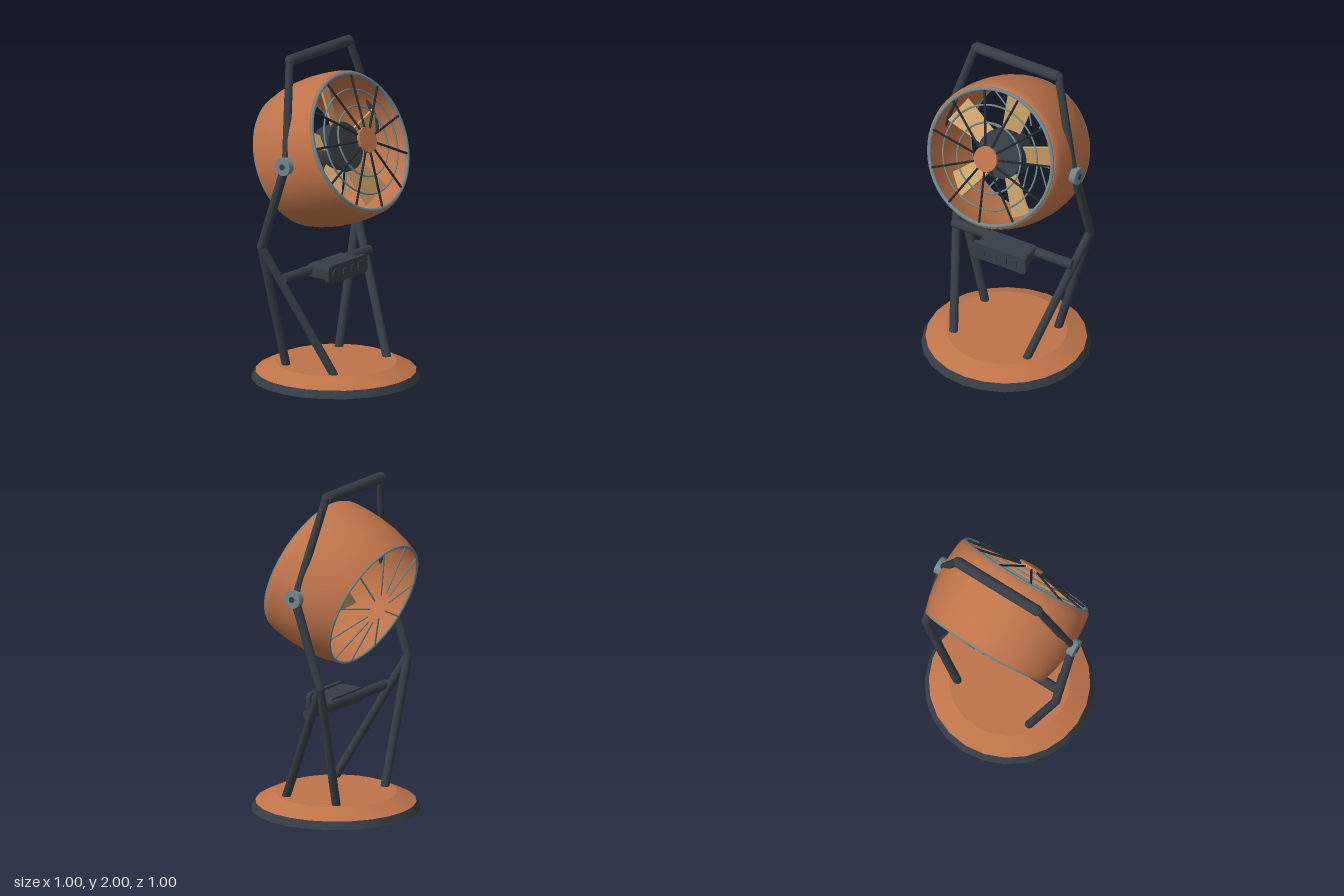
import * as THREE from 'three';
import { toCreasedNormals } from 'three/addons/utils/BufferGeometryUtils.js';

const mat = (name, color) => {
  const m = new THREE.MeshStandardMaterial({ color });
  m.name = name;
  return m;
};

export function createModel() {
  const copper = mat('copper', 0xbf744a);
  const dark = mat('dark steel', 0x353d44);
  const black = mat('black wire', 0x23292d);
  const grey = mat('grey trim', 0x70868a);
  const tan = mat('tan blade', 0xcba068);

  const model = new THREE.Group();
  model.name = 'floorFan';

  const add = (parent, name, geo, material, x = 0, y = 0, z = 0) => {
    const m = new THREE.Mesh(geo, material);
    m.name = name;
    m.position.set(x, y, z);
    parent.add(m);
    return m;
  };
  // Straight round bar between two points
  const rod = (parent, name, a, b, r, material, sides = 12) => {
    const p = new THREE.Vector3(...a), q = new THREE.Vector3(...b);
    const d = q.clone().sub(p);
    const m = add(parent, name, new THREE.CylinderGeometry(r, r, d.length(), sides), material);
    m.position.copy(p).add(q).multiplyScalar(0.5);
    m.quaternion.setFromUnitVectors(new THREE.Vector3(0, 1, 0), d.normalize());
    return m;
  };
  // Cylinder whose axis runs along z
  const disc = (r, depth, sides) => new THREE.CylinderGeometry(r, r, depth, sides).rotateX(Math.PI / 2);

  // Base
  add(model, 'baseRim', new THREE.CylinderGeometry(0.475, 0.5, 0.045, 24), dark, 0, 0.0225, 0);
  add(model, 'basePlate', new THREE.CylinderGeometry(0.36, 0.475, 0.055, 24), copper, 0, 0.0725, 0);

  // Stand and carrying handle, mirrored left and right
  for (const s of [1, -1]) {
    const knee = [s * 0.455, 0.855, -0.2];
    rod(model, 'frontLeg', [s * 0.25, 0.09, 0.185], knee, 0.026, dark);
    rod(model, 'backLeg', [s * 0.25, 0.09, -0.175], knee, 0.026, dark);
    rod(model, 'upright', knee, [s * 0.457, 1.38, -0.02], 0.027, dark);
    add(model, 'kneeJoint', new THREE.SphereGeometry(0.027, 12, 8), dark, ...knee);
    rod(model, 'handleArm', [s * 0.452, 1.38, -0.02], [s * 0.285, 1.965, -0.123], 0.024, dark);
    add(model, 'handleJoint', new THREE.SphereGeometry(0.027, 12, 8), dark, s * 0.285, 1.965, -0.123);
    rod(model, 'pivotWasher', [s * 0.434, 1.38, -0.02], [s * 0.487, 1.38, -0.02], 0.054, grey, 20);
    rod(model, 'pivotBolt', [s * 0.484, 1.38, -0.02], [s * 0.492, 1.38, -0.02], 0.018, dark, 12);
  }
  rod(model, 'handleGrip', [-0.285, 1.967, -0.125], [0.285, 1.967, -0.125], 0.033, dark, 16);
  rod(model, 'crossBar', [-0.41, 0.67, -0.075], [0.41, 0.67, -0.075], 0.03, dark, 14);

  // Control box on the cross bar
  const slab = (w, h, r, depth) => {
    const x = w / 2, y = h / 2, sh = new THREE.Shape();
    sh.moveTo(-x + r, -y).lineTo(x - r, -y).quadraticCurveTo(x, -y, x, -y + r);
    sh.lineTo(x, y - r).quadraticCurveTo(x, y, x - r, y);
    sh.lineTo(-x + r, y).quadraticCurveTo(-x, y, -x, y - r);
    sh.lineTo(-x, -y + r).quadraticCurveTo(-x, -y, -x + r, -y);
    return new THREE.ExtrudeGeometry(sh, { depth, bevelEnabled: false, curveSegments: 5 });
  };
  add(model, 'controlBox', slab(0.33, 0.085, 0.02, 0.145), dark, 0, 0.668, -0.08);
  add(model, 'controlPanel', slab(0.37, 0.11, 0.03, 0.028), dark, 0, 0.668, 0.062);
  add(model, 'controlKnob', disc(0.031, 0.009, 20), dark, -0.12, 0.668, 0.0935);
  for (const [x, w, h] of [[-0.03, 0.034, 0.03], [0.04, 0.036, 0.042], [0.11, 0.038, 0.054]])
    add(model, 'controlButton', new THREE.BoxGeometry(w, h, 0.009), dark, x, 0.67, 0.0935);

  // Tilted fan head: local z is the fan axis
  const head = new THREE.Group();
  head.name = 'fanHead';
  head.position.set(0, 1.38, -0.02);
  head.rotation.x = -0.39;
  model.add(head);

  // Drum: outer wall from back to front, then inner wall back again
  const profile = [
    [0.392, -0.266], [0.402, -0.264], [0.426, -0.19], [0.442, -0.1], [0.449, 0], [0.448, 0.08],
    [0.441, 0.16], [0.434, 0.198], [0.425, 0.211], [0.412, 0.213], [0.402, 0.205],
    [0.412, 0.15], [0.425, 0.05], [0.425, -0.03], [0.412, -0.15], [0.392, -0.266],
  ].map(([r, z]) => new THREE.Vector2(r, z));
  const drum = toCreasedNormals(new THREE.LatheGeometry(profile, 56).rotateX(Math.PI / 2), 0.75);
  add(head, 'drum', drum, copper);
  add(head, 'frontRim', new THREE.TorusGeometry(0.411, 0.012, 8, 56), grey, 0, 0, 0.213);
  add(head, 'backRim', new THREE.TorusGeometry(0.396, 0.008, 8, 56), grey, 0, 0, -0.266);

  // Front and back guards
  const spokes = 11;
  for (let i = 0; i < spokes; i++) {
    const a = THREE.MathUtils.degToRad(-88) + (i / spokes) * Math.PI * 2;
    const c = Math.cos(a), s = Math.sin(a);
    rod(head, 'frontSpoke', [c * 0.06, s * 0.06, 0.268], [c * 0.403, s * 0.403, 0.217], 0.007, black, 6);
    rod(head, 'backSpoke', [c * 0.1, s * 0.1, -0.305], [c * 0.396, s * 0.396, -0.267], 0.005, grey, 6);
  }
  add(head, 'guardRingOuter', new THREE.TorusGeometry(0.315, 0.006, 6, 48), grey, 0, 0, 0.222);
  add(head, 'guardRingInner', new THREE.TorusGeometry(0.212, 0.006, 6, 48), grey, 0, 0, 0.238);
  add(head, 'guardCap', disc(0.077, 0.02, 24), copper, 0, 0, 0.272);

  // Motor and blades
  add(head, 'motor', disc(0.148, 0.13, 20), dark, 0, 0, 0.035);
  const bladeShape = new THREE.Shape([[0.11, -0.052], [0.385, -0.088], [0.385, 0.088], [0.11, 0.052]]
    .map(([x, y]) => new THREE.Vector2(x, y)));
  const bladeGeo = new THREE.ExtrudeGeometry(bladeShape, { depth: 0.012, bevelEnabled: false })
    .translate(0, 0, -0.006).rotateX(0.45);
  for (let i = 0; i < 5; i++)
    add(head, 'blade', bladeGeo, tan, 0, 0, 0.045).rotation.z = THREE.MathUtils.degToRad(12 + i * 72);

  return model;
}
